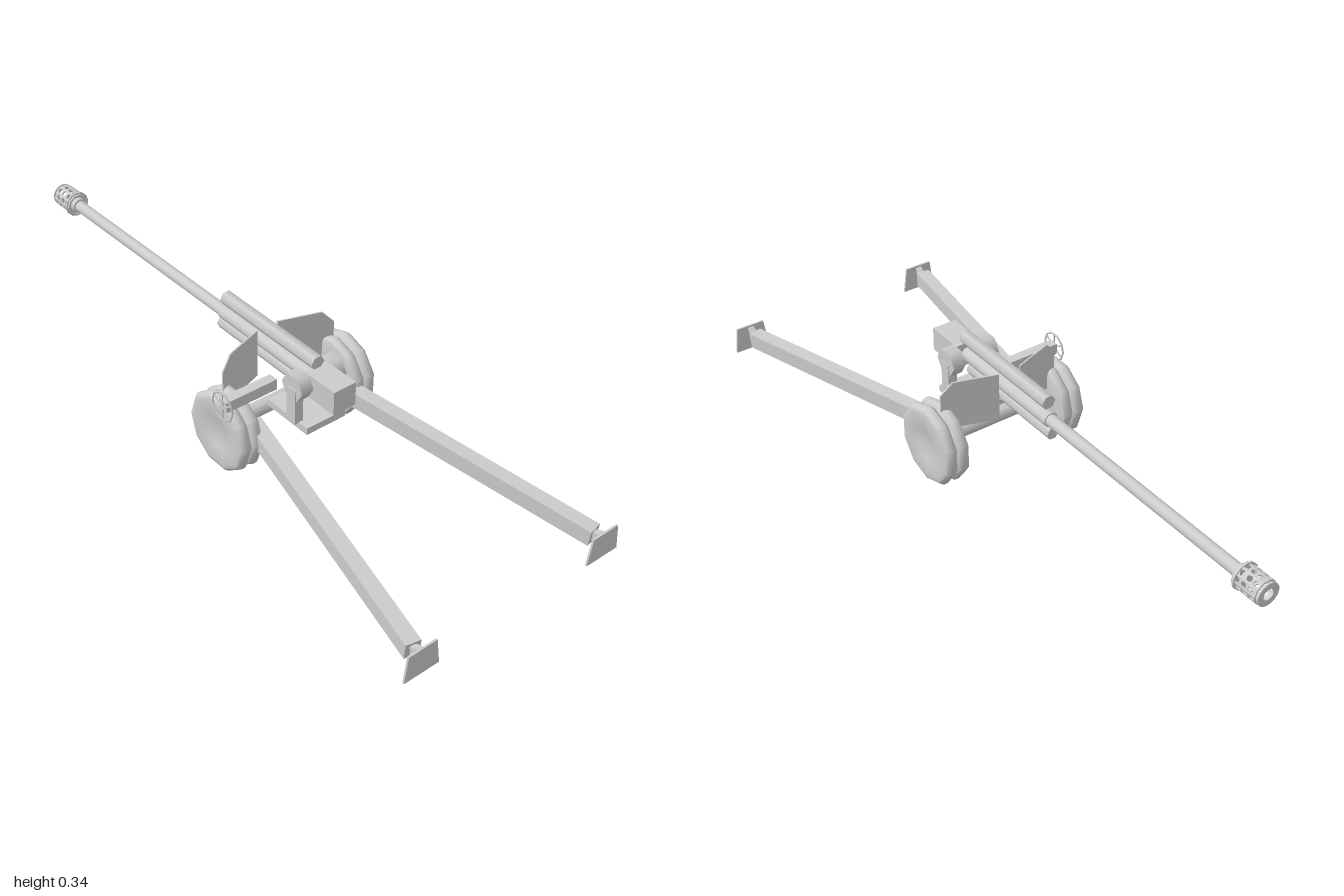
import * as THREE from 'three';
import { toCreasedNormals } from 'three/addons/utils/BufferGeometryUtils.js';

const steel = new THREE.MeshStandardMaterial({ color: 0xcccccc });
steel.name = 'paleGreySteel';

export function createModel() {
  const root = new THREE.Group();
  root.name = 'fieldGun';

  const add = (name, geo, x = 0, y = 0, z = 0, parent = root) => {
    const m = new THREE.Mesh(geo, steel);
    m.name = name;
    m.position.set(x, y, z);
    parent.add(m);
    return m;
  };
  // Box given by its limits on each axis
  const box = (name, x0, x1, y0, y1, z0, z1) =>
    add(name, new THREE.BoxGeometry(x1 - x0, y1 - y0, z1 - z0), (x0 + x1) / 2, (y0 + y1) / 2, (z0 + z1) / 2);
  // Tube lying along z
  const tubeZ = (name, r, y, z0, z1, sides) =>
    add(name, new THREE.CylinderGeometry(r, r, z1 - z0, sides, 1, false, Math.PI / 2).rotateX(Math.PI / 2), 0, y, (z0 + z1) / 2);
  // Tube lying along x
  const tubeX = (name, r, x0, x1, y, z, sides) =>
    add(name, new THREE.CylinderGeometry(r, r, x1 - x0, sides).rotateZ(Math.PI / 2), (x0 + x1) / 2, y, z);
  // Beam of rectangular section between two points
  const beam = (name, a, b, w, h) => {
    const p = new THREE.Vector3(...a), q = new THREE.Vector3(...b);
    const m = add(name, new THREE.BoxGeometry(w, h, p.distanceTo(q)));
    m.position.copy(p).add(q).multiplyScalar(0.5);
    m.lookAt(q);
    return m;
  };

  // Barrel, breech and recoil cylinders
  tubeZ('barrel', 0.018, 0.267, -0.93, 0.0, 12);
  tubeZ('barrelSleeve', 0.022, 0.267, -0.16, 0.25, 12);
  box('breech', -0.0375, 0.0375, 0.23, 0.303, 0.235, 0.355);
  tubeZ('upperRecoilCylinder', 0.0215, 0.319, -0.15, 0.245, 6);
  tubeZ('lowerRecoilCylinder', 0.0195, 0.228, -0.17, 0.215, 6);

  // Perforated muzzle brake made of flat panels around the bore
  const brake = new THREE.Group();
  brake.name = 'muzzleBrake';
  brake.position.set(0, 0.267, -0.955);
  root.add(brake);
  const sides = 10, brakeR = 0.034, half = brakeR * Math.tan(Math.PI / sides);
  for (let i = 0; i < sides; i++) {
    const s = new THREE.Shape();
    s.moveTo(-half, -0.045).lineTo(half, -0.045).lineTo(half, 0.035).lineTo(-half, 0.035).closePath();
    for (const y of [-0.03, -0.007, 0.016]) {
      const h = new THREE.Path();
      h.absellipse(0, y + (i % 2) * 0.006, 0.0075, 0.0085, 0, Math.PI * 2, true);
      s.holes.push(h);
    }
    const g = new THREE.ExtrudeGeometry(s, { depth: 0.004, bevelEnabled: false, curveSegments: 8 });
    g.translate(0, 0, brakeR - 0.004).rotateY((i / sides) * Math.PI * 2).rotateX(-Math.PI / 2);
    // The panel's local y runs along the bore
    add('brakePanel', g, 0, 0, 0, brake);
  }
  const endRing = new THREE.Shape().absarc(0, 0, brakeR, 0, Math.PI * 2);
  endRing.holes.push(new THREE.Path().absarc(0, 0, 0.016, 0, Math.PI * 2, true));
  add('muzzleEnd', new THREE.ExtrudeGeometry(endRing, { depth: 0.004, bevelEnabled: false, curveSegments: 10 }), 0, 0, -0.045, brake);
  tubeZ('brakeCollar', 0.04, 0.267, -0.922, -0.916, 12);
  tubeZ('brakeNeck', 0.024, 0.267, -0.916, -0.9, 12);

  // Carriage
  box('carriageBase', -0.067, 0.067, 0.135, 0.156, 0.12, 0.285);
  tubeX('axle', 0.0225, -0.17, 0.17, 0.125, 0.105, 6);

  // Dished twin road wheel profile: radius, distance from the wheel centre
  const profile = [
    [0, -0.037], [0.055, -0.037], [0.1, -0.038], [0.115, -0.034], [0.12, -0.026], [0.12, -0.012],
    [0.113, -0.003], [0.1, 0], [0.113, 0.003], [0.12, 0.012], [0.12, 0.026], [0.112, 0.036],
    [0.1, 0.038], [0.062, 0.037], [0.045, 0.032], [0, 0.026],
  ];
  const shieldShape = new THREE.Shape();
  shieldShape.moveTo(0.035, 0.172).lineTo(0.193, 0.172).lineTo(0.193, 0.284)
    .lineTo(0.159, 0.322).lineTo(0.035, 0.322).closePath();
  const spadeShape = new THREE.Shape();
  spadeShape.moveTo(-0.055, 0).lineTo(0.057, 0).lineTo(0.047, 0.082).lineTo(-0.043, 0.082).closePath();

  for (const s of [1, -1]) {
    const side = s > 0 ? 'left' : 'right';

    // Wheel, its dished face turned outward
    const k = s > 0 ? 0.1225 / 0.12 : 1;
    const pts = profile.map(([r, d]) => new THREE.Vector2(r * k, d));
    const wheelGeo = new THREE.LatheGeometry(pts, 10, s > 0 ? Math.PI / 2 : 0).rotateZ(-s * Math.PI / 2);
    add(side + 'Wheel', toCreasedNormals(wheelGeo, 0.75), s * 0.198, s > 0 ? 0.1225 : 0.1141, 0.106);

    // Trunnion and cheek
    const x0 = s > 0 ? 0.0375 : -0.077;
    tubeX(side + 'Trunnion', 0.042, x0, x0 + 0.0395, 0.2665, 0.232, 6);
    const c0 = s > 0 ? 0.052 : -0.08;
    box(side + 'Cheek', c0, c0 + 0.028, 0.154, 0.265, 0.215, 0.25);

    // Swept-back shield plate
    const g = new THREE.ExtrudeGeometry(shieldShape, { depth: 0.005, bevelEnabled: false });
    const p = g.attributes.position;
    for (let i = 0; i < p.count; i++) {
      p.setZ(i, p.getZ(i) + 0.03 + (p.getX(i) - 0.035) * 0.33);
    }
    g.computeVertexNormals();
    if (s < 0) g.translate(-0.114, 0, 0);
    const plate = add(side + 'Shield', g);
    if (s < 0) {
      // Mirrored across the centre line
      g.translate(0.114, 0, 0);
      plate.scale.x = -1;
    }

    // Trail leg with ground spade
    beam(side + 'Trail', [s * 0.147, 0.128, 0.155], [s * 0.313, 0.05, 0.965], 0.043, 0.048);
    const spade = add(side + 'Spade', new THREE.ExtrudeGeometry(spadeShape, { depth: 0.006, bevelEnabled: false }), s * 0.312, 0, 0.994);
    spade.scale.x = s;
    beam(side + 'SpadeBracket', [s * 0.312, 0.052, 0.95], [s * 0.314, 0.052, 0.996], 0.014, 0.03);
    beam(side + 'SpadeBrace', [s * 0.312, 0.055, 0.955], [s * 0.314, 0.074, 0.996], 0.02, 0.006);
  }

  // Aiming gear with handwheel
  box('aimingGearBox', -0.245, -0.075, 0.222, 0.255, 0.138, 0.168);
  const hand = new THREE.Group();
  hand.name = 'handwheel';
  hand.position.set(-0.247, 0.238, 0.154);
  root.add(hand);
  add('handwheelRim', new THREE.TorusGeometry(0.043, 0.0028, 5, 10).rotateY(Math.PI / 2), 0, 0, 0, hand);
  for (let i = 0; i < 3; i++) {
    add('handwheelSpoke', new THREE.BoxGeometry(0.003, 0.084, 0.004), 0, 0, 0, hand).rotation.x = (i * Math.PI) / 3;
  }
  add('handwheelGrip', new THREE.CylinderGeometry(0.003, 0.003, 0.008, 6).rotateZ(Math.PI / 2), -0.002, -0.043, 0, hand);

  return root;
}
